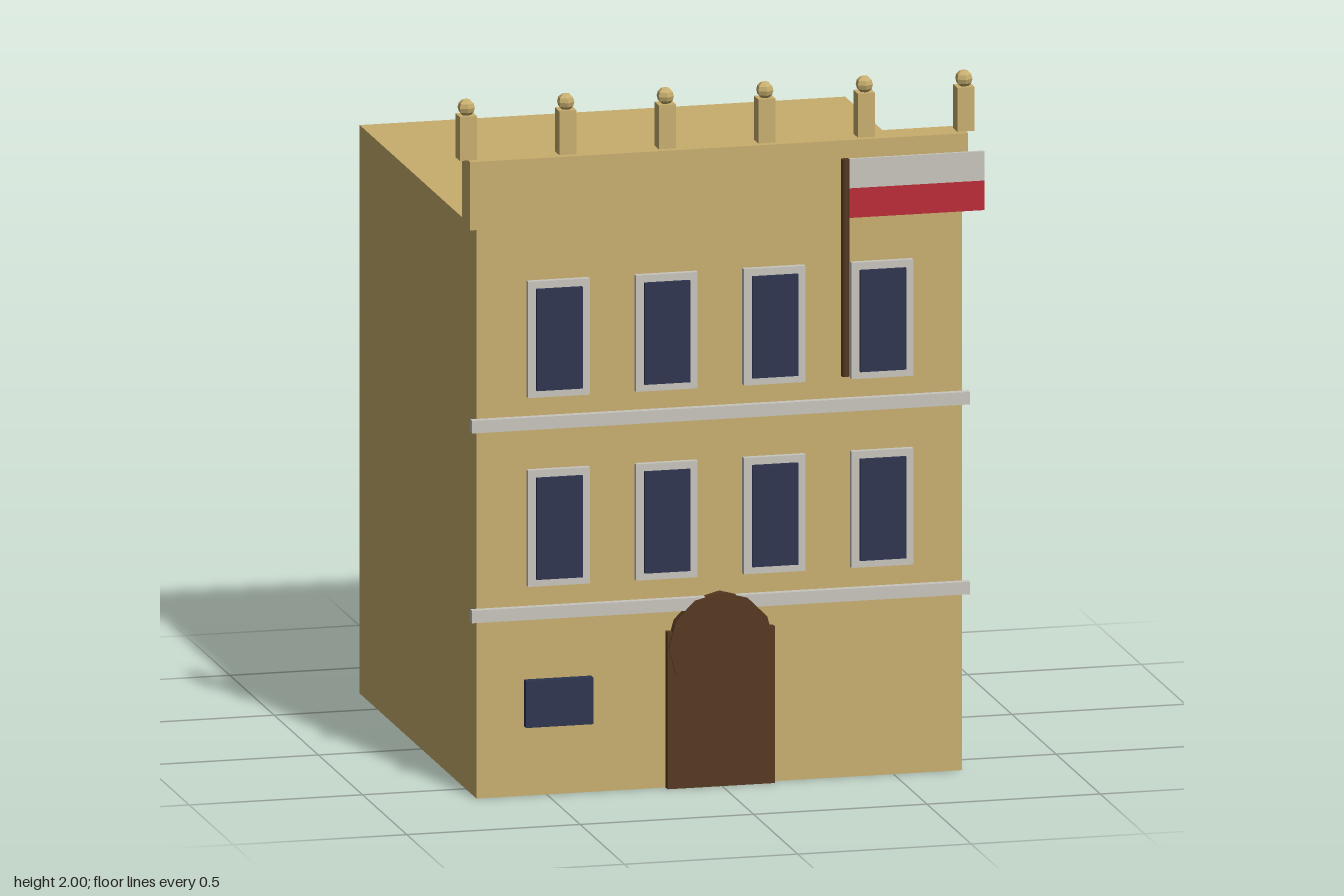
import * as THREE from 'three';

const mat = (name, color) => {
  const m = new THREE.MeshStandardMaterial({ color });
  m.name = name;
  return m;
};

export function createModel() {
  const group = new THREE.Group();
  const stucco = mat('ochre stucco', 0xc8ae6e);
  const trim = mat('pale stone', 0xc8c5be);
  const glass = mat('navy glass', 0x2d3450);
  const wood = mat('dark wood', 0x553720);
  const red = mat('red cloth', 0xba2a36);

  const add = (name, geometry, material, x, y, z) => {
    const mesh = new THREE.Mesh(geometry, material);
    mesh.name = name;
    mesh.position.set(x, y, z);
    group.add(mesh);
    return mesh;
  };
  // Box given by its minimum and maximum corners
  const box = (name, material, [x0, y0, z0], [x1, y1, z1]) =>
    add(name, new THREE.BoxGeometry(x1 - x0, y1 - y0, z1 - z0), material,
      (x0 + x1) / 2, (y0 + y1) / 2, (z0 + z1) / 2);

  const cx = -0.003; // middle of the facade
  const front = 0.623; // facade plane

  // Main block and parapet
  box('building', stucco, [cx - 0.7, 0, -0.697], [cx + 0.7, 1.632, front]);
  box('parapet', stucco, [cx - 0.718, 1.632, 0.528], [cx + 0.718, 1.828, front]);

  // Finials along the parapet: square post with a faceted ball
  const ballGeometry = new THREE.SphereGeometry(0.025, 6, 6).toNonIndexed();
  ballGeometry.rotateY(Math.PI / 6);
  ballGeometry.computeVertexNormals();
  for (let i = 0; i < 6; i++) {
    const x = cx + (i - 2.5) * 0.287;
    add('finialPost', new THREE.BoxGeometry(0.05, 0.126, 0.05), stucco, x, 1.891, 0.576);
    add('finialBall', ballGeometry, stucco, x, 1.975, 0.576);
  }

  // Horizontal string courses
  for (const y of [0.527, 1.072])
    box('stringCourse', trim, [cx - 0.718, y - 0.018, front], [cx + 0.718, y + 0.018, 0.645]);

  // Two rows of framed windows
  for (const y of [0.77, 1.312]) {
    for (let i = 0; i < 4; i++) {
      const x = cx + (i - 1.5) * 0.311;
      box('windowFrame', trim, [x - 0.089, y - 0.167, front], [x + 0.089, y + 0.167, 0.641]);
      box('windowPane', glass, [x - 0.066, y - 0.146, 0.641], [x + 0.066, y + 0.146, 0.651]);
    }
  }
  box('groundWindow', glass, [-0.566, 0.2, front], [-0.372, 0.334, 0.648]);

  // Door with a faceted round head
  box('door', wood, [cx - 0.155, 0, front], [cx + 0.155, 0.45, 0.646]);
  const arch = new THREE.CylinderGeometry(0.152, 0.152, 0.027, 12);
  arch.rotateX(Math.PI / 2);
  add('doorArch', arch, wood, cx, 0.405, 0.6375);

  // Flag on an upright pole
  add('flagPole', new THREE.CylinderGeometry(0.012, 0.012, 0.624, 6), wood, 0.345, 1.477, 0.683);
  box('flagUpper', trim, [0.355, 1.705, 0.678], [0.745, 1.789, 0.688]);
  box('flagLower', red, [0.355, 1.62, 0.678], [0.745, 1.705, 0.688]);

  return group;
}
